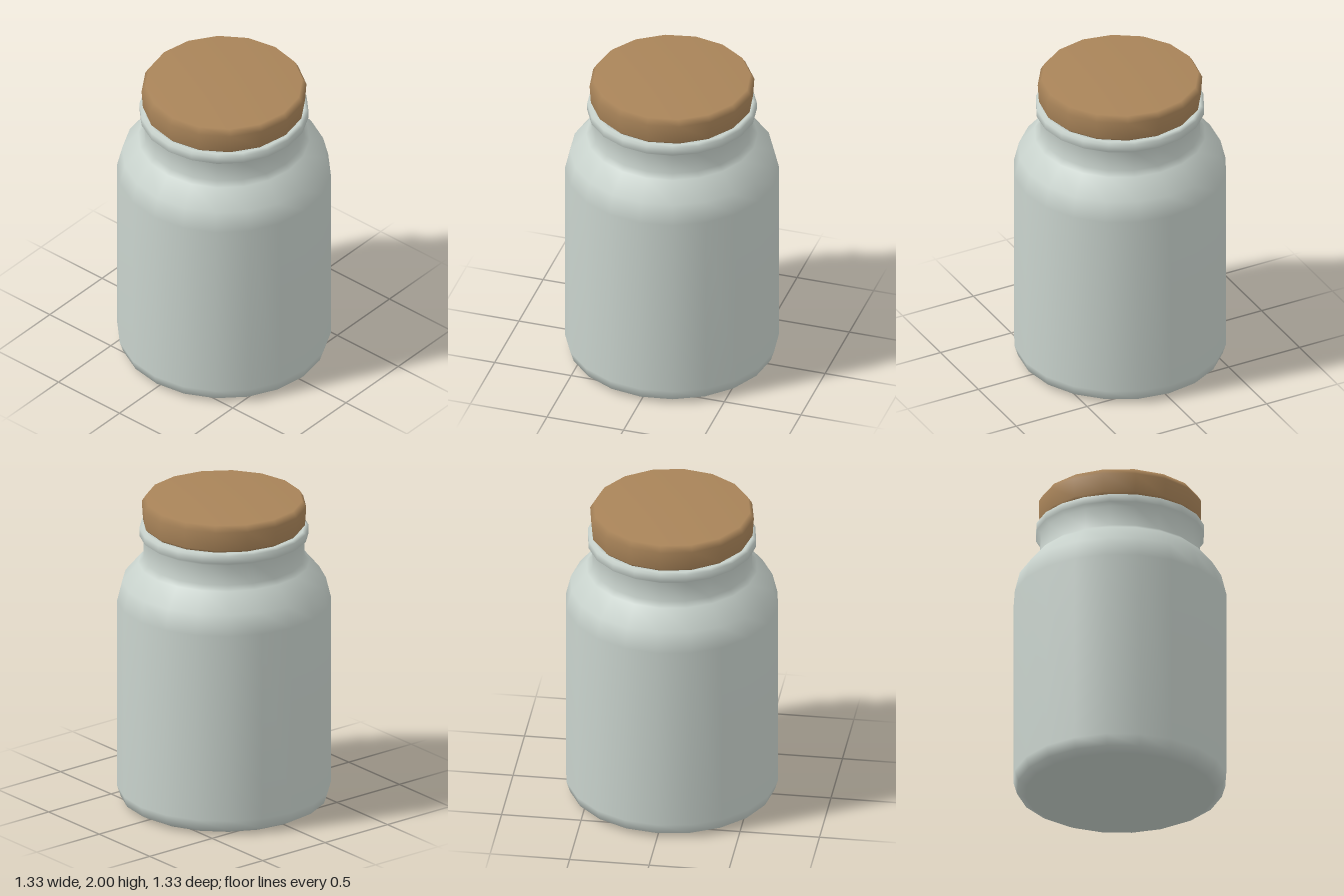
import * as THREE from 'three';

// Revolve a [radius, height] profile, listed from bottom to top
function lathe(name, profile, sides, material) {
  const points = profile.map(([r, y]) => new THREE.Vector2(r, y));
  const mesh = new THREE.Mesh(new THREE.LatheGeometry(points, sides), material);
  mesh.name = name;
  return mesh;
}

export function createModel() {
  const glass = new THREE.MeshStandardMaterial({ color: 0xc9d3cd });
  const cork = new THREE.MeshStandardMaterial({ color: 0xa98459 });
  glass.name = 'paleGlass';
  cork.name = 'cork';

  const model = new THREE.Group();
  model.name = 'corkedJar';

  // Base, straight wall, sloping shoulder, neck, lip and mouth
  model.add(lathe('jar', [
    [0, 0], [0.59, 0], [0.645, 0.03], [0.667, 0.1],
    [0.667, 1.33], [0.635, 1.46], [0.535, 1.58], [0.502, 1.61],
    [0.502, 1.74], [0.528, 1.76], [0.528, 1.81], [0.505, 1.82],
    [0.43, 1.82], [0.42, 1.7],
  ], 20, glass));

  // Plug inside the mouth and wide bevelled cap above the lip
  model.add(lathe('corkStopper', [
    [0, 1.7], [0.42, 1.7], [0.43, 1.822], [0.49, 1.822],
    [0.507, 1.84], [0.515, 1.96], [0.49, 2], [0, 2],
  ], 16, cork));

  return model;
}
